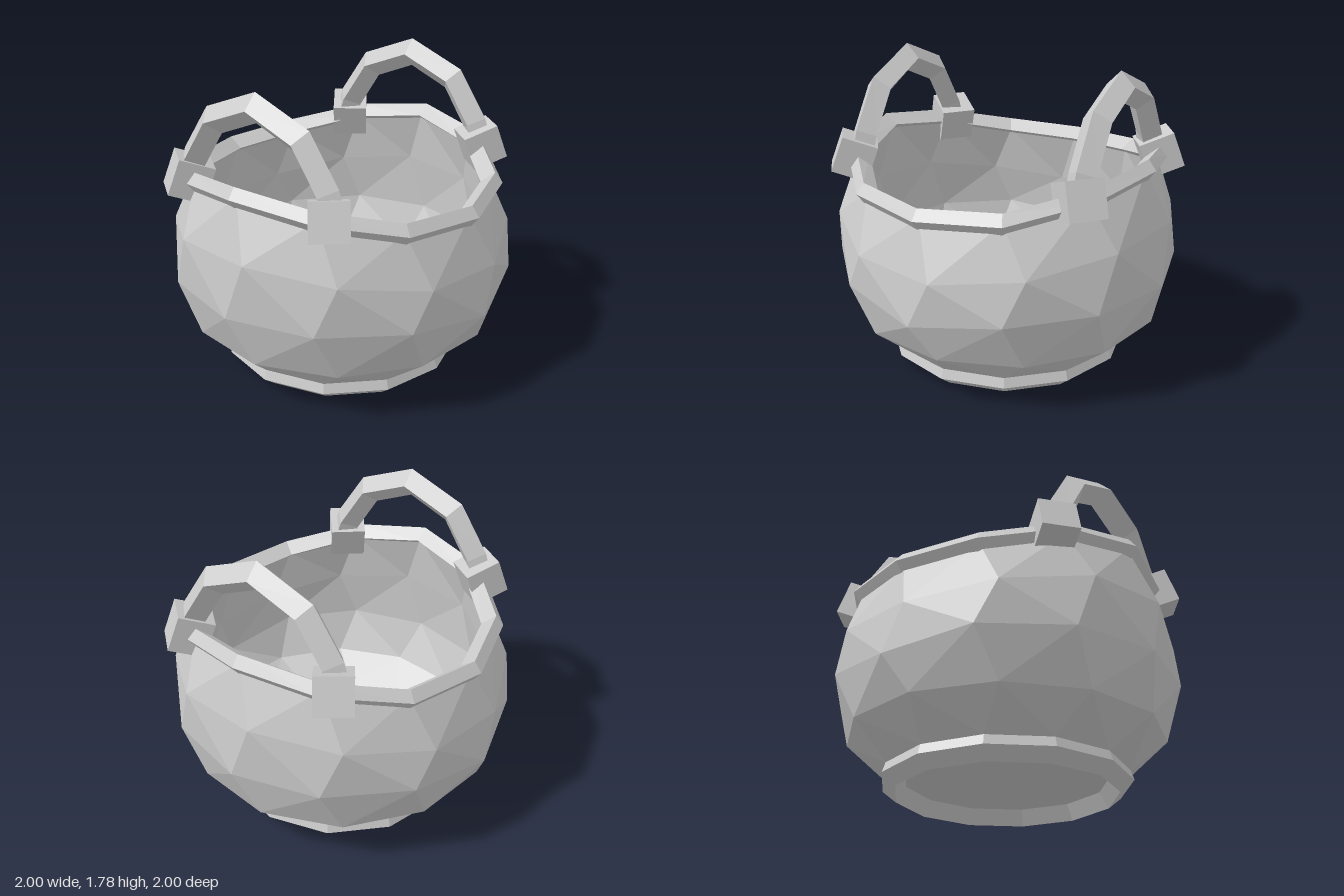
import * as THREE from 'three';

const SIDES = 12;
const TWIST = THREE.MathUtils.degToRad(7);
const material = new THREE.MeshStandardMaterial({ color: 0xcccccc, flatShading: true, side: THREE.DoubleSide });

// Skin a list of closed rings; flip[j] picks the other quad diagonal
function loft(rings, flip = []) {
  const pos = [];
  const put = (...pts) => pts.forEach((p) => pos.push(...p));
  for (let j = 0; j < rings.length - 1; j++) {
    const lo = rings[j], up = rings[j + 1], n = lo.length;
    for (let i = 0; i < n; i++) {
      const k = (i + 1) % n;
      if (flip[j]) put(lo[i], lo[k], up[k], lo[i], up[k], up[i]);
      else put(lo[i], lo[k], up[i], lo[k], up[k], up[i]);
    }
  }
  const g = new THREE.BufferGeometry();
  g.setAttribute('position', new THREE.Float32BufferAttribute(pos, 3));
  g.computeVertexNormals();
  return g;
}

// Horizontal ring; height is a function of the angle measured from the front
function ring(r, height, twist = 0) {
  return Array.from({ length: SIDES }, (_, i) => {
    const a = (i / SIDES) * Math.PI * 2 + twist;
    return [r * Math.sin(a), height(a), r * Math.cos(a)];
  });
}

export function createModel() {
  const group = new THREE.Group();
  const add = (name, geometry) => {
    const mesh = new THREE.Mesh(geometry, material);
    mesh.name = name;
    group.add(mesh);
    return mesh;
  };

  // Heights that dip at front and back and rise at the sides
  const flat = (y) => () => y;
  const rimY = (dy) => (a) => 1.09 + dy + 0.17 * Math.abs(Math.sin(a)) ** 3;
  const bellyY = (a) => 0.6 - 0.08 * Math.cos(a) ** 12;
  const shoulderY = (a) => 0.78 + 0.16 * Math.sin(a) ** 2;

  // Faceted bowl: outer wall up, over the lip, inner wall down
  const bowl = [
    ring(0.69, flat(0.12)),
    ring(0.91, flat(0.31), TWIST),
    ring(1.0, bellyY),
    ring(0.985, shoulderY, TWIST),
    ring(0.87, rimY(0)),
    ring(0.83, rimY(0)),
    ring(0.88, shoulderY, TWIST),
    ring(0.9, bellyY),
    ring(0.81, flat(0.34), TWIST),
    ring(0.6, flat(0.19)),
  ];
  add('bowl', loft(bowl, [0, 1, 0, 1, 0, 0, 1, 0, 1]));

  const floor = add('bowlFloor', new THREE.CircleGeometry(0.6, SIDES).rotateX(-Math.PI / 2));
  floor.position.y = 0.19;
  const underside = add('underside', new THREE.CircleGeometry(0.62, SIDES).rotateX(Math.PI / 2));
  underside.position.y = 0.09;

  // Curved rim band
  const rim = [[0.885, -0.06], [0.93, 0], [0.885, 0.06], [0.805, 0], [0.885, -0.06]];
  add('rim', loft(rim.map(([r, dy]) => ring(r, rimY(dy)))));

  // Foot ring
  const foot = [[0.63, 0], [0.71, 0.065], [0.69, 0.125], [0.57, 0.1], [0.63, 0]];
  add('footRing', loft(foot.map(([r, y]) => ring(r, flat(y)))));

  // Handles: diamond section swept along a pointed arch, slightly skewed
  const half = [[0.5, 1.18], [0.45, 1.33], [0.29, 1.575]];
  const arch = [...half, [0, 1.695], ...half.map(([z, y]) => [-z, y]).reverse()];
  const s = 0.083;
  for (const side of [1, -1]) {
    const sections = arch.map(([z, y], i) => {
      const [z0, y0] = arch[Math.max(i - 1, 0)];
      const [z1, y1] = arch[Math.min(i + 1, arch.length - 1)];
      const len = Math.hypot(z1 - z0, y1 - y0);
      const ny = (-(z1 - z0) / len) * s, nz = ((y1 - y0) / len) * s;
      const x = side * 0.703 + z * 0.045;
      return [[x, y + ny, z + nz], [x + s, y, z], [x, y - ny, z - nz], [x - s, y, z]];
    });
    add(side > 0 ? 'leftHandle' : 'rightHandle', loft(sections));

    // Blocks joining the handle to the rim
    for (const end of [1, -1]) {
      const block = add('handleBlock', new THREE.BoxGeometry(0.21, 0.21, 0.21));
      const yaw = THREE.MathUtils.degToRad(end > 0 ? 50 : 126);
      block.position.set(side * 0.73, 1.21, end * 0.495);
      block.rotation.set(-0.36, side * yaw, 0, 'YXZ');
    }
  }
  return group;
}
